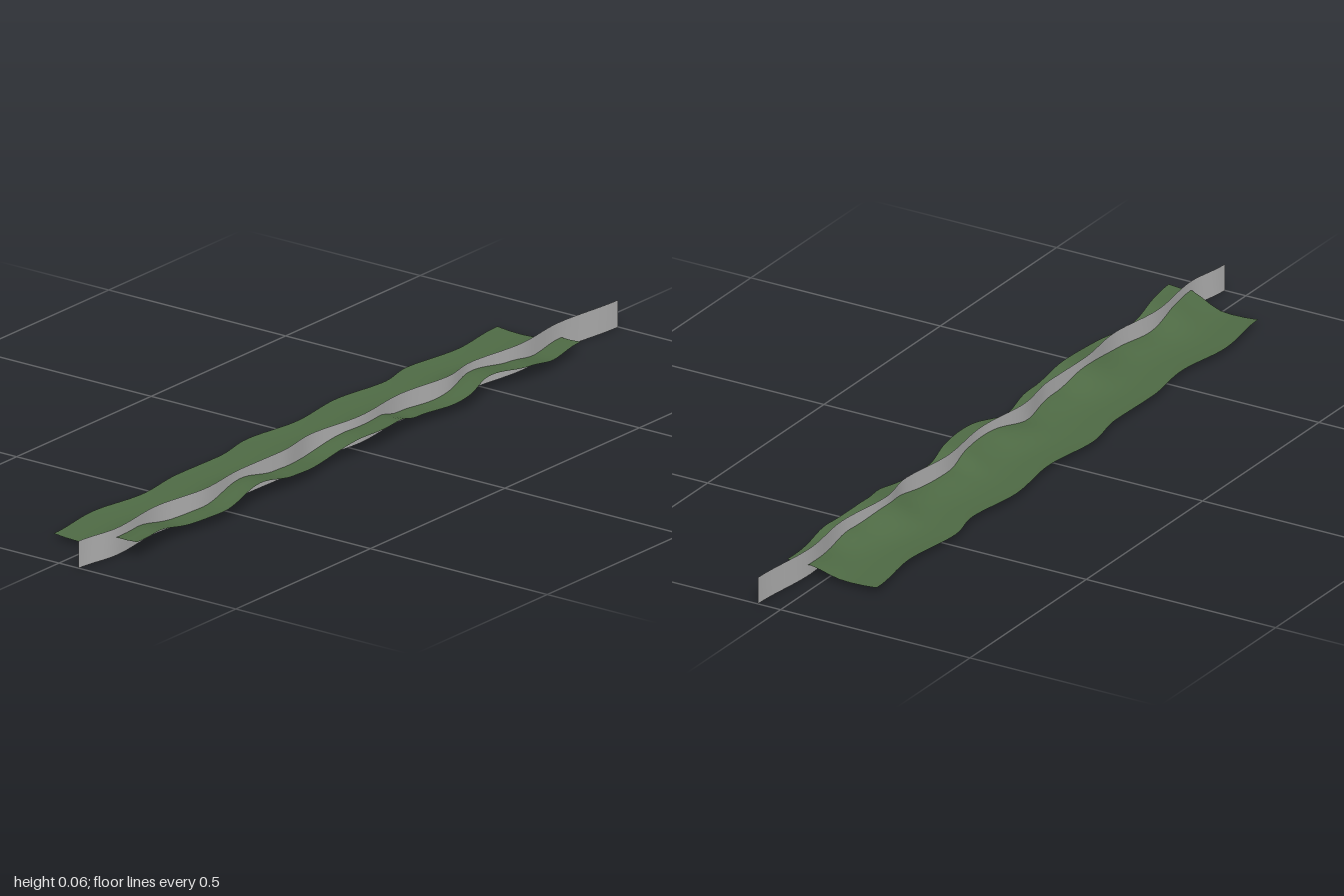
import * as THREE from 'three';

// Smooth curve through [x, value] points, extended flat past both ends
function sampler(points) {
  return (x) => {
    if (x <= points[0][0]) return points[0][1];
    for (let i = 1; i < points.length; i++) {
      const [x0, a] = points[i - 1], [x1, b] = points[i];
      if (x <= x1) return THREE.MathUtils.lerp(a, b, THREE.MathUtils.smoothstep(x, x0, x1));
    }
    return points[points.length - 1][1];
  };
}

// Sideways sway shared by the bank and the wall
const sway = sampler([
  [-1, -0.005], [-0.88, 0.013], [-0.71, -0.006], [-0.55, 0.014], [-0.4, -0.002], [-0.25, 0.001],
  [-0.12, -0.018], [0.04, 0], [0.21, -0.018], [0.37, 0], [0.47, -0.018], [0.64, 0], [0.8, -0.018], [1, 0],
]);

// Height of the rolling upper part of the bank
const crest = sampler([
  [-0.88, 0.044], [-0.8, 0.042], [-0.66, 0.021], [-0.57, 0.024], [-0.4, 0.044], [-0.28, 0.027],
  [-0.15, 0.02], [0, 0.042], [0.12, 0.041], [0.2, 0.025], [0.3, 0.022], [0.48, 0.045],
  [0.6, 0.034], [0.7, 0.022], [0.81, 0.028],
]);

// Bank cross-section: z offset, low height, share of the crest height
const section = [
  [0.117, 0, 1], [0.085, -0.002, 1], [0.055, -0.001, 1], [0.03, 0.004, 0.65],
  [0.005, 0.007, 0.3], [-0.02, 0.009, 0.05], [-0.05, 0.009, 0], [-0.085, 0.01, 0], [-0.119, 0.013, 0],
];

// Grid surface over x, one row of points per step
function sheet(x0, x1, steps, rows, place) {
  const geometry = new THREE.PlaneGeometry(1, 1, steps, rows);
  const pos = geometry.attributes.position;
  for (let j = 0; j <= rows; j++) {
    for (let i = 0; i <= steps; i++) {
      const x = THREE.MathUtils.lerp(x0, x1, i / steps);
      pos.setXYZ(j * (steps + 1) + i, x, ...place(x, j));
    }
  }
  geometry.computeVertexNormals();
  return geometry;
}

export function createModel() {
  const group = new THREE.Group();
  const green = new THREE.MeshStandardMaterial({ color: 0x4f6b45, side: THREE.DoubleSide });
  green.name = 'grass green';
  const grey = new THREE.MeshStandardMaterial({ color: 0xb4b4b4, side: THREE.DoubleSide });
  grey.name = 'wall grey';

  // Rolling bank, rows run from front to back so the upper side faces up
  const last = section.length - 1;
  const bank = new THREE.Mesh(sheet(-0.88, 0.81, 100, last, (x, j) => {
    const [z, low, share] = section[last - j];
    return [low + crest(x) * share, z + sway(x)];
  }), green);
  bank.name = 'grassBank';

  // Upright thin wall swaying along the bank
  const wall = new THREE.Mesh(sheet(-1, 1, 100, 1, (x, j) => [j ? 0 : 0.065, 0.06 + sway(x) * 0.9]), grey);
  wall.name = 'wallStrip';

  group.add(bank, wall);
  return group;
}
